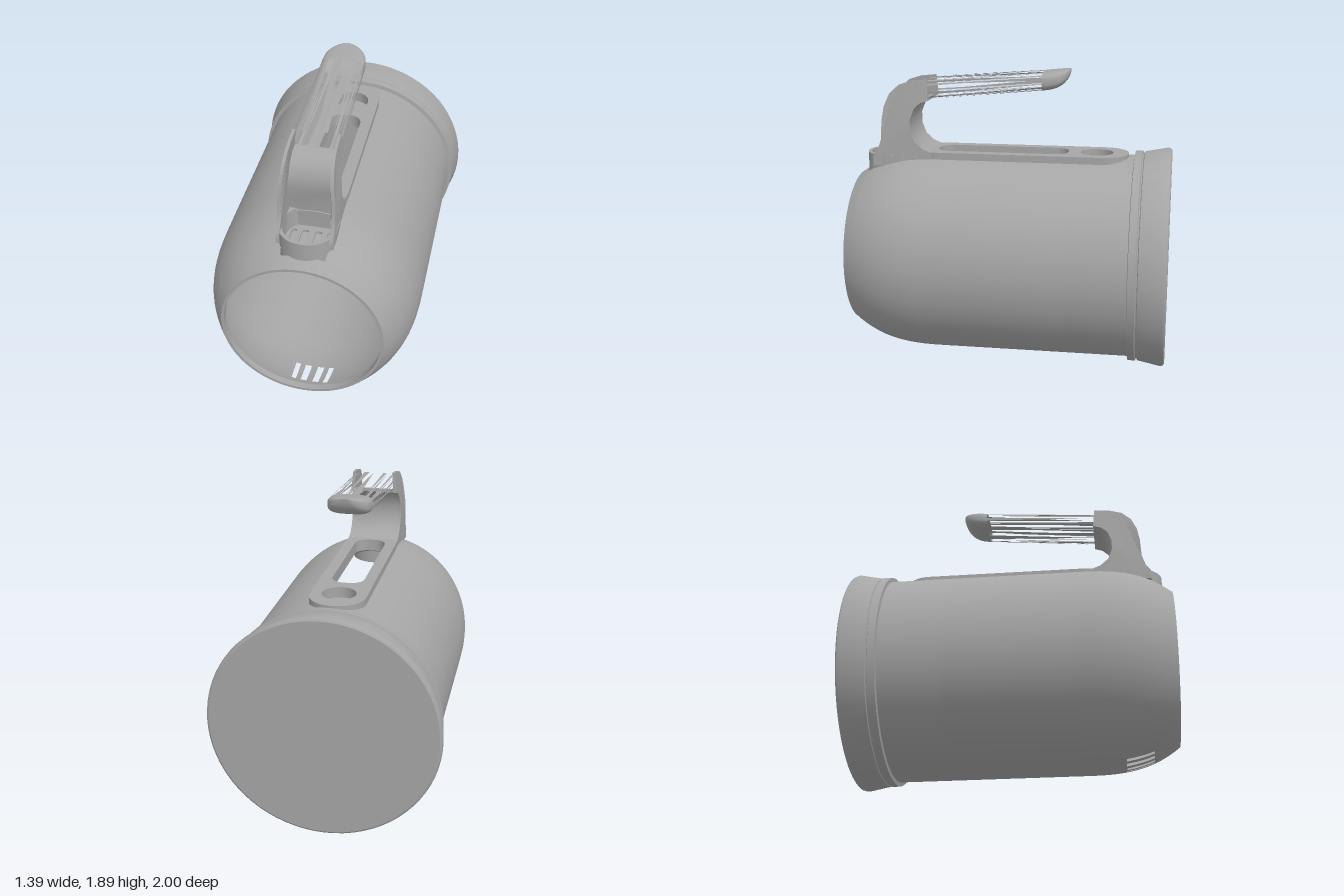
import * as THREE from 'three';
import { toCreasedNormals } from 'three/addons/utils/BufferGeometryUtils.js';

const CY = 0.7; // height of the body axis
const grey = new THREE.MeshStandardMaterial({ color: 0xa6a6a6, side: THREE.DoubleSide });
grey.name = 'plain grey';

export function createModel() {
  const model = new THREE.Group();
  const add = (name, geometry) => {
    const mesh = new THREE.Mesh(geometry, grey);
    mesh.name = name;
    model.add(mesh);
    return mesh;
  };
  const buffer = (pos, idx) => {
    const g = new THREE.BufferGeometry();
    g.setAttribute('position', new THREE.Float32BufferAttribute(pos, 3));
    if (idx) g.setIndex(idx);
    g.computeVertexNormals();
    return g;
  };
  const v2 = (pts) => pts.map(([x, y]) => new THREE.Vector2(x, y));
  const lathe = (name, pts) => {
    const g = new THREE.LatheGeometry(v2(pts), 72).rotateX(Math.PI / 2).translate(0, CY, 0);
    add(name, toCreasedNormals(g, 0.5));
  };

  // Body shell: straight barrel with a rounded nose, cells left out for the openings
  const radius = (z) => 0.645 - 0.155 * Math.max(0, (z - 0.4) / 0.6) ** 3;
  const ang = (x) => Math.asin(x / 0.62);
  const slots = [[-0.122, -0.092], [-0.06, -0.02], [0.02, 0.06], [0.092, 0.122]];
  const holes = [
    [ang(-0.11), ang(0.11), -0.36, 0.49], // finger opening
    [ang(-0.11), ang(0.11), -0.64, -0.42], // button well
    [ang(-0.15), ang(0.15), 0.64, 0.93], // handle foot
    ...slots.map(([a, b]) => [Math.PI + ang(a), Math.PI + ang(b), 0.67, 0.84]),
  ];
  const lines = (list) => [...new Set(list.map((v) => +v.toFixed(4)))].sort((a, b) => a - b);
  const thetas = [], zs = [-0.8, 0.4];
  for (let i = 0; i < 72; i++) thetas.push(-1 + (i / 72) * Math.PI * 2);
  for (let i = 1; i <= 18; i++) zs.push(0.4 + i / 30);
  for (const [a, b, c, d] of holes) { thetas.push(a, b); zs.push(c, d); }
  const T = lines(thetas), Z = lines(zs), pos = [], idx = [];
  for (const z of Z) for (const t of T) pos.push(radius(z) * Math.sin(t), CY + radius(z) * Math.cos(t), z);
  for (let i = 0; i < Z.length - 1; i++) {
    for (let j = 0; j < T.length; j++) {
      const k = (j + 1) % T.length;
      const t = k ? (T[j] + T[k]) / 2 : T[j] + 0.01, z = (Z[i] + Z[i + 1]) / 2;
      if (holes.some(([a, b, c, d]) => t > a && t < b && z > c && z < d)) continue;
      const p = i * T.length + j, q = i * T.length + k, n = T.length;
      idx.push(p, p + n, q, q, p + n, q + n);
    }
  }
  add('bodyShell', buffer(pos, idx));
  lathe('frontLip', [[0.475, 0.96], [0.475, 1], [0.492, 1]]);
  lathe('rearCap', [[0, -1], [0.68, -1], [0.692, -0.992], [0.697, -0.975], [0.669, -0.83],
    [0.66, -0.826], [0.66, -0.82], [0.673, -0.815], [0.67, -0.77], [0.645, -0.766]]);

  // Flat pieces drawn in (x, -z) and raised upward
  const flat = (name, shape, y0, y1) => {
    const g = new THREE.ExtrudeGeometry(shape, { depth: y1 - y0, bevelEnabled: false, curveSegments: 16 });
    add(name, toCreasedNormals(g.rotateX(-Math.PI / 2).translate(0, y0, 0), 0.6));
  };
  const roundRect = (S, x0, x1, z0, z1, r) => {
    const s = new S(), a = -z1, b = -z0, H = Math.PI / 2;
    s.moveTo(x0 + r, a);
    s.absarc(x1 - r, a + r, r, -H, 0);
    s.absarc(x1 - r, b - r, r, 0, H);
    s.absarc(x0 + r, b - r, r, H, 2 * H);
    s.absarc(x0 + r, a + r, r, 2 * H, 3 * H);
    return s;
  };

  // Top plate with finger opening and button well
  const plate = roundRect(THREE.Shape, -0.17, 0.17, -0.73, 0.62, 0.165);
  const well = new THREE.Path();
  well.absarc(0, 0.53, 0.103, 0, Math.PI * 2);
  plate.holes.push(roundRect(THREE.Path, -0.1, 0.1, -0.35, 0.48, 0.08), well);
  flat('topPlate', plate, 1.29, 1.366);
  add('buttonWell', new THREE.CylinderGeometry(0.103, 0.103, 0.06, 32, 1, true).translate(0, 1.32, -0.53));
  add('button', new THREE.CircleGeometry(0.103, 32).rotateX(-Math.PI / 2).translate(0, 1.3, -0.53));

  // Handle foot: rounded rim around a slotted floor
  const rim = roundRect(THREE.Shape, -0.17, 0.17, 0.55, 0.95, 0.165);
  rim.holes.push(roundRect(THREE.Path, -0.148, 0.148, 0.6, 0.928, 0.14));
  flat('handleFoot', rim, 1.18, 1.34);
  const floor = roundRect(THREE.Shape, -0.16, 0.16, 0.6, 0.94, 0.155);
  slots.forEach(([a, b]) => floor.holes.push(roundRect(THREE.Path, a, b, 0.67, 0.84, 0.014)));
  flat('ventFloor', floor, 1.2, 1.215);

  // Handle neck: channel of two side walls and a rear web, drawn in (z, y)
  const side = (name, shape, x0, x1) => {
    const g = new THREE.ExtrudeGeometry(shape, { depth: x1 - x0, bevelEnabled: false, curveSegments: 8 });
    g.rotateY(-Math.PI / 2).translate(x1, 0, 0);
    const p = g.attributes.position;
    for (let i = 0; i < p.count; i++) {
      p.setX(i, p.getX(i) * (1 - 0.6 * Math.max(0, p.getY(i) - 1.55)));
    }
    add(name, toCreasedNormals(g, 0.7));
  };
  const rear = [[0.5, 1.36], [0.56, 1.385], [0.61, 1.43], [0.637, 1.5], [0.637, 1.57], [0.61, 1.64], [0.57, 1.675], [0.52, 1.69]];
  const front = [[0.53, 1.82], [0.63, 1.81], [0.71, 1.785], [0.77, 1.73], [0.805, 1.65], [0.82, 1.56], [0.827, 1.44], [0.85, 1.37], [0.88, 1.33], [0.88, 1.27], [0.5, 1.3]];
  const wall = new THREE.Shape(v2([...rear, ...front]));
  side('handleWallRight', wall, -0.167, -0.145);
  side('handleWallLeft', wall, 0.145, 0.167);
  const web = new THREE.Shape(v2([...rear, [0.52, 1.71], [0.58, 1.698], [0.63, 1.655], [0.66, 1.58], [0.66, 1.5], [0.635, 1.4], [0.63, 1.2], [0.5, 1.3]]));
  side('handleWeb', web, -0.15, 0.15);

  // Rounded cross-section point for the grip and its tip
  const ring = (a, z, w, top, h) => {
    const c = Math.cos(a), s = Math.sin(a);
    return [w * Math.sign(c) * Math.abs(c) ** 0.6, top - h / 2 + (h / 2) * Math.sign(s) * Math.abs(s) ** 0.65, z];
  };

  // Grip: long tapering slivers with open gaps between
  const strips = [], N = 24;
  for (let i = 0; i < N; i++) {
    const a = (i / N) * Math.PI * 2, b = a + (0.75 * Math.PI * 2) / N;
    const neck = (t) => ring(t, 0.53, 0.142, 1.82, 0.13);
    const tip = (t) => ring(t, -0.19, 0.135, 1.872, 0.115);
    if (i % 2) strips.push(...neck(a), ...neck(b), ...tip(b));
    else strips.push(...tip(b), ...tip(a), ...neck(a));
  }
  add('gripSlivers', buffer(strips));

  // Grip tip: hollow rounded end, flat on top and curving up underneath
  const tipPos = [], tipIdx = [], M = 32, rows = 12;
  for (let i = 0; i <= rows; i++) {
    const t = Math.sin((i / rows) * Math.PI / 2), s = Math.sqrt(Math.max(0, 1 - t ** 3));
    for (let j = 0; j < M; j++) {
      tipPos.push(...ring((j / M) * Math.PI * 2, -0.19 - 0.17 * t, 0.135 * s, 1.872 + 0.02 * t, 0.115 * s));
      if (i === rows) continue;
      const p = i * M + j, q = i * M + ((j + 1) % M);
      tipIdx.push(p, p + M, q, q, p + M, q + M);
    }
  }
  add('gripTip', buffer(tipPos, tipIdx));

  return model;
}
